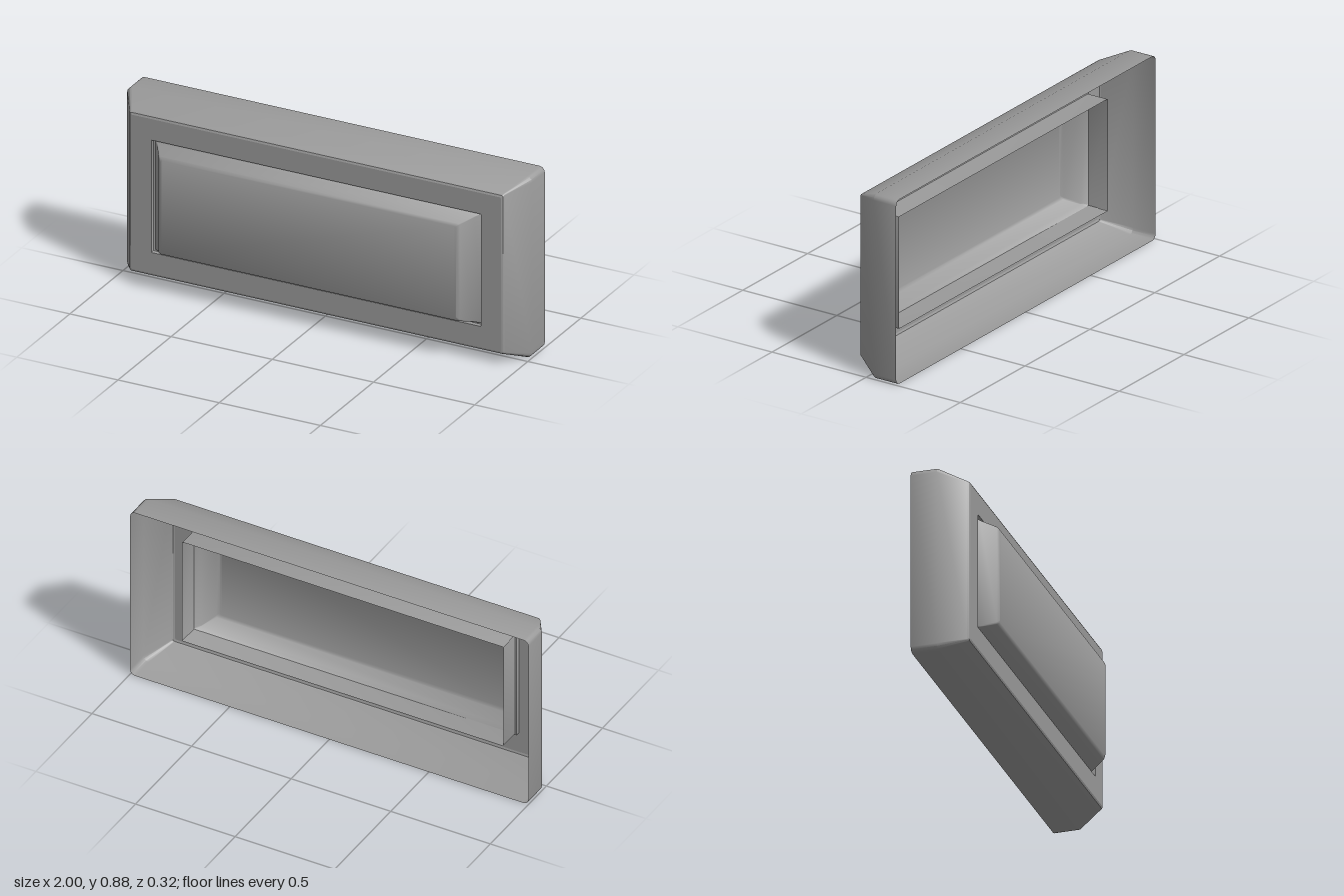
import * as THREE from 'three';
import { toCreasedNormals } from 'three/addons/utils/BufferGeometryUtils.js';

const CENTRE_Y = 0.4375;
const CORNER_STEPS = 3;

// One rounded rectangle, counter-clockwise seen from the front.
function ring([hx, hy, z, r]) {
  const points = [];
  const corners = [[1, 1], [-1, 1], [-1, -1], [1, -1]];
  corners.forEach(([sx, sy], c) => {
    for (let i = 0; i <= CORNER_STEPS; i++) {
      const a = (c + i / CORNER_STEPS) * Math.PI / 2;
      points.push([sx * (hx - r) + r * Math.cos(a), CENTRE_Y + sy * (hy - r) + r * Math.sin(a), z]);
    }
  });
  return points;
}

// Skin through rectangular sections [halfWidth, halfHeight, z, cornerRadius].
function loft(name, sections, crease, closed, material) {
  const rings = sections.map(ring);
  const n = rings[0].length;
  const index = [];
  for (let s = 0; s < rings.length - 1; s++) {
    for (let i = 0; i < n; i++) {
      const j = (i + 1) % n;
      const a = s * n + i, b = s * n + j, c = b + n, d = a + n;
      index.push(a, b, c, a, c, d);
    }
  }
  // Front face in upright strips, joining the top edge to the bottom edge
  if (closed) {
    const last = (rings.length - 1) * n;
    for (let i = 0; i < n / 2 - 1; i++) {
      const a = last + i, b = a + 1, c = last + n - 2 - i, d = c + 1;
      index.push(a, b, c, a, c, d);
    }
  }
  const geometry = new THREE.BufferGeometry();
  geometry.setAttribute('position', new THREE.Float32BufferAttribute(rings.flat(2), 3));
  geometry.setIndex(index);
  const mesh = new THREE.Mesh(toCreasedNormals(geometry, crease), material);
  mesh.name = name;
  return mesh;
}

export function createModel() {
  const group = new THREE.Group();
  group.name = 'framedPanel';
  const material = new THREE.MeshStandardMaterial({ color: 0x9b9b9b, side: THREE.DoubleSide });

  // Surround: straight walls running into a sloped shoulder, open at the back
  group.add(loft('frameSides', [
    [1, 0.4375, -0.16, 0.025],
    [1, 0.4375, -0.04, 0.025],
    [0.926, 0.386, 0.078, 0.01],
  ], 0.7, false, material));

  // Front of the surround, with a narrow bevel and a groove around the window
  group.add(loft('frameFace', [
    [0.926, 0.386, 0.078, 0.01],
    [0.922, 0.383, 0.084, 0.008],
    [0.913, 0.374, 0.088, 0.006],
    [0.814, 0.272, 0.088, 0.003],
    [0.814, 0.272, 0.066, 0.003],
    [0.806, 0.266, 0.064, 0.004],
  ], 0.3, false, material));

  // Straight skirt behind the raised panel
  group.add(loft('panelSkirt', [
    [0.806, 0.266, -0.04, 0.004],
    [0.806, 0.266, 0.064, 0.004],
  ], 0.3, false, material));

  // Raised panel with sloped sides and a softened front edge
  group.add(loft('raisedPanel', [
    [0.806, 0.266, 0.064, 0.004],
    [0.783, 0.257, 0.09, 0.006],
    [0.744, 0.236, 0.152, 0.01],
    [0.73, 0.223, 0.162, 0.01],
  ], 0.9, true, material));

  return group;
}
